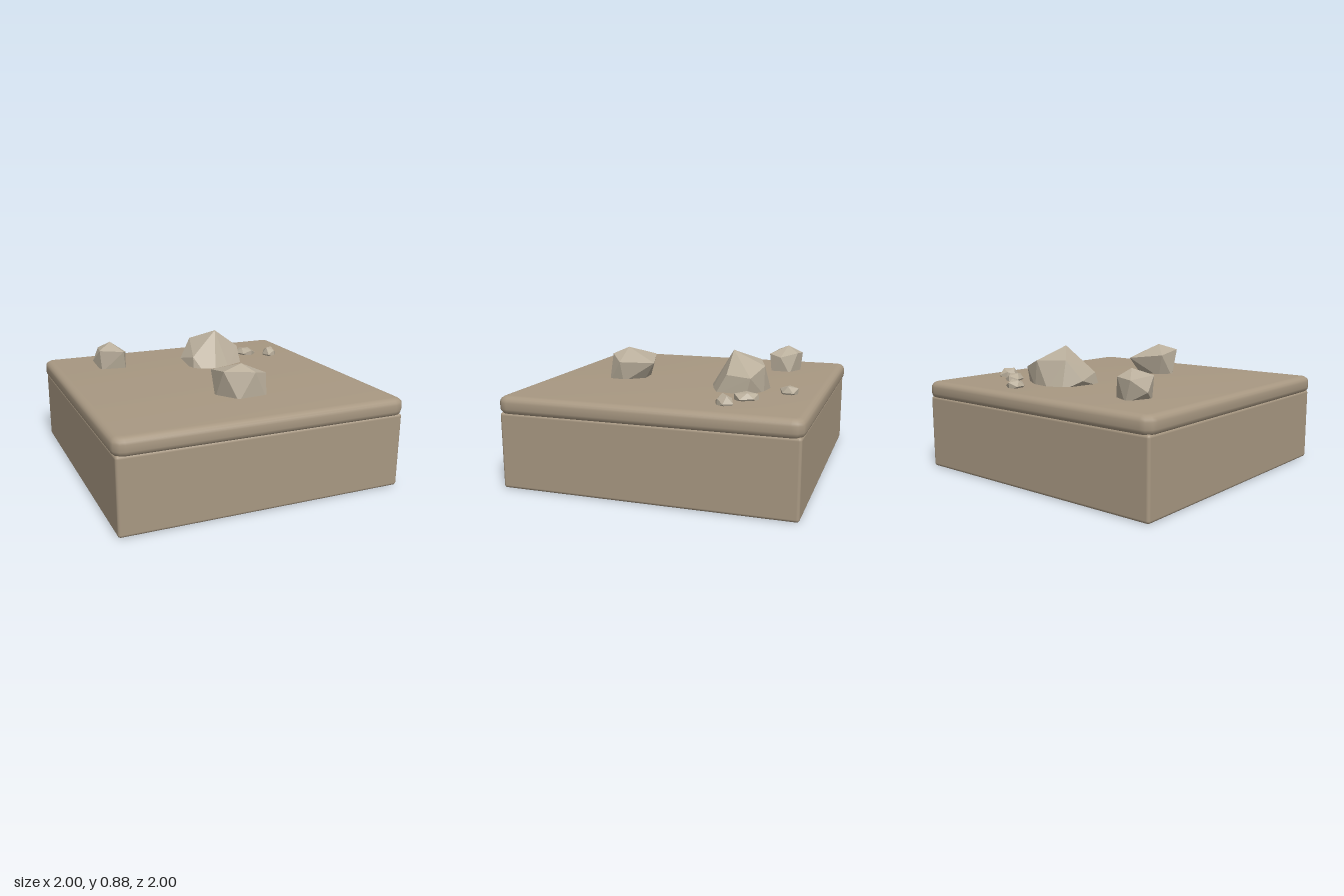
import * as THREE from 'three';
import { RoundedBoxGeometry } from 'three/addons/geometries/RoundedBoxGeometry.js';
import { ConvexGeometry } from 'three/addons/geometries/ConvexGeometry.js';
import { toCreasedNormals } from 'three/addons/utils/BufferGeometryUtils.js';

const earth = new THREE.MeshStandardMaterial({ color: 0xa89882 });
const stone = new THREE.MeshStandardMaterial({ color: 0xb9ae9b, flatShading: true });

function add(group, name, geometry, material) {
  const mesh = new THREE.Mesh(geometry, material);
  mesh.name = name;
  group.add(mesh);
  return mesh;
}

// Flat slab with rounded corners and a softly bevelled rim
function slabGeometry(bottom, top) {
  const h = 0.95, r = 0.03, bevel = 0.04;
  const shape = new THREE.Shape();
  shape.moveTo(-h + r, -h);
  shape.lineTo(h - r, -h).quadraticCurveTo(h, -h, h, -h + r);
  shape.lineTo(h, h - r).quadraticCurveTo(h, h, h - r, h);
  shape.lineTo(-h + r, h).quadraticCurveTo(-h, h, -h, h - r);
  shape.lineTo(-h, -h + r).quadraticCurveTo(-h, -h, -h + r, -h);
  const geo = new THREE.ExtrudeGeometry(shape, {
    depth: top - bottom - 2 * bevel, bevelThickness: bevel, bevelSize: 0.05,
    bevelSegments: 4, curveSegments: 3,
  });
  geo.rotateX(-Math.PI / 2).translate(0, bottom + bevel, 0);
  return toCreasedNormals(geo, 0.7);
}

// Faceted boulder: convex hull of a few corner points
const boulder = (points) => new ConvexGeometry(points.map((p) => new THREE.Vector3(...p)));

// Pebble: squashed icosahedron with a slight irregularity
function pebble(w, h, d, seed) {
  const geo = new THREE.IcosahedronGeometry(1, 0);
  const pos = geo.attributes.position;
  for (let i = 0; i < pos.count; i++) {
    const x = pos.getX(i), y = pos.getY(i), z = pos.getZ(i);
    const k = 1 + 0.13 * Math.sin(5 * x + 7 * y + 3 * z + seed);
    pos.setXYZ(i, x * k * w, y * k * h, z * k * d);
  }
  geo.computeVertexNormals();
  return geo;
}

export function createModel() {
  const group = new THREE.Group();
  group.name = 'groundTile';

  // Ground block and its top layer
  add(group, 'base', new RoundedBoxGeometry(1.972, 0.515, 1.972, 3, 0.02), earth).position.y = 0.2575;
  add(group, 'topLayer', slabGeometry(0.5, 0.622), earth);

  // Large boulders, sunk slightly into the ground
  add(group, 'largeRock', boulder([
    [0.22, 0.88, -0.38], [0.07, 0.8, -0.54], [0.28, 0.79, -0.61], [0.44, 0.73, -0.55],
    [0.41, 0.74, -0.38], [0.01, 0.7, -0.31], [-0.03, 0.66, -0.48],
    [0, 0.6, -0.28], [0.06, 0.6, -0.22], [0.15, 0.6, -0.2], [0.28, 0.6, -0.24],
    [0.41, 0.6, -0.3], [0.445, 0.6, -0.52], [0.3, 0.6, -0.61], [0.16, 0.6, -0.63], [0.06, 0.6, -0.59],
  ]), stone);
  add(group, 'frontRock', boulder([
    [0.04, 0.835, 0.47], [0.14, 0.74, 0.235], [0.23, 0.75, 0.465], [0.1, 0.79, 0.57],
    [-0.105, 0.8, 0.51], [-0.11, 0.77, 0.31], [-0.125, 0.6, 0.42], [-0.02, 0.6, 0.575],
    [0.19, 0.6, 0.56], [0.2, 0.6, 0.45], [0.1, 0.6, 0.33], [-0.06, 0.6, 0.34],
  ]), stone);
  add(group, 'sideRock', boulder([
    [-0.56, 0.81, -0.61], [-0.63, 0.75, -0.71], [-0.51, 0.76, -0.69], [-0.45, 0.73, -0.57],
    [-0.49, 0.75, -0.48], [-0.665, 0.765, -0.52], [-0.695, 0.67, -0.62],
    [-0.65, 0.6, -0.52], [-0.47, 0.6, -0.5], [-0.46, 0.6, -0.64], [-0.58, 0.6, -0.7],
  ]), stone);

  // Pebbles: x, z, width, height, depth
  [
    [0.31, -0.78, 0.062, 0.045, 0.068],
    [0.57, -0.56, 0.068, 0.048, 0.085],
    [0.74, -0.46, 0.07, 0.055, 0.063],
  ].forEach(([x, z, w, h, d], i) => {
    const mesh = add(group, `pebble${i + 1}`, pebble(w, h, d, i * 2), stone);
    mesh.position.set(x, 0.633, z);
    mesh.rotation.y = i * 0.3;
  });
  return group;
}
